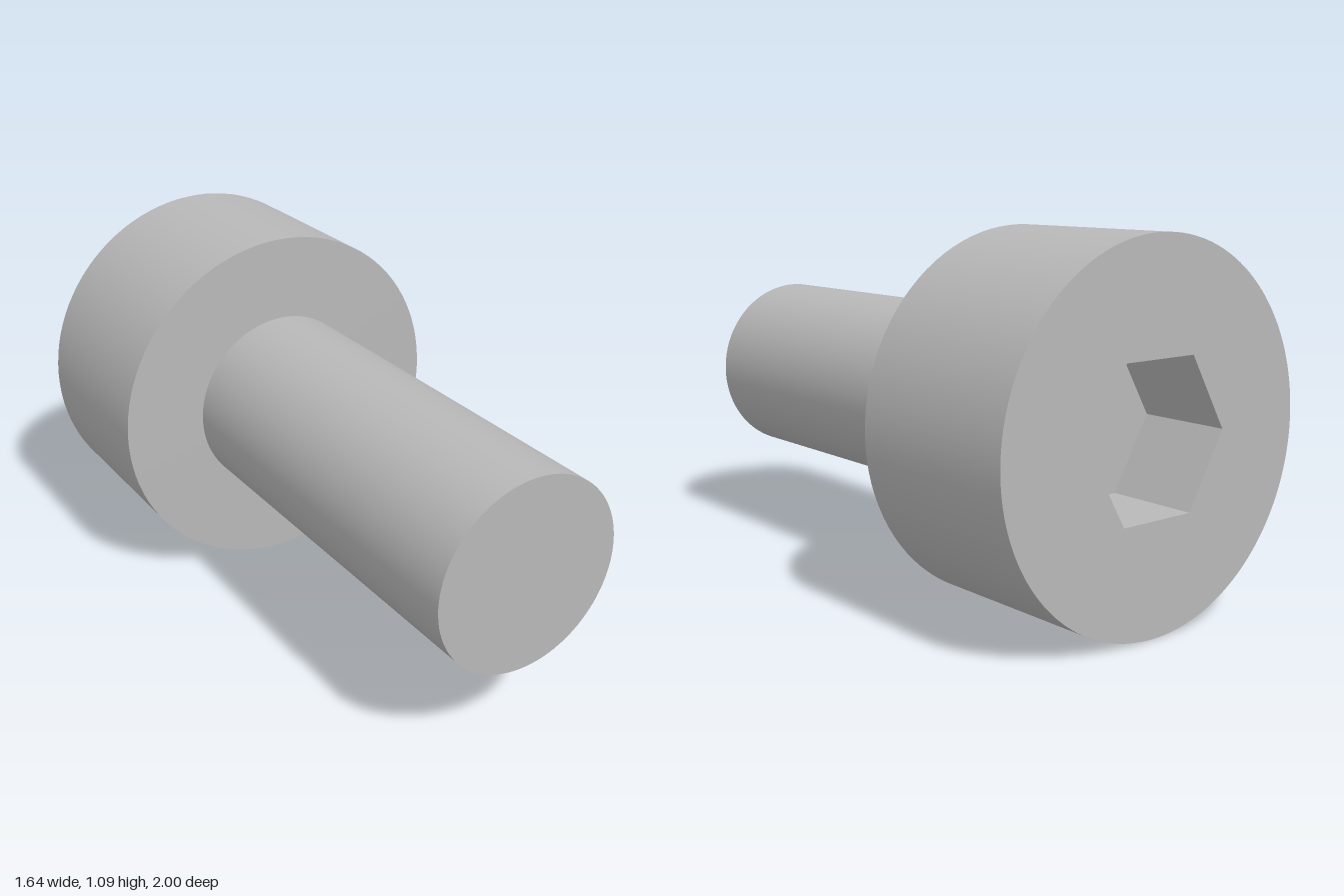
import * as THREE from 'three';

const HEAD_R = 0.547, HEAD_H = 0.57;
const SHANK_R = 0.287, LENGTH = 1.826;
const HEX_R = 0.251, HEX_DEPTH = 0.286;
const SIDES = 96;

export function createModel() {
  const steel = new THREE.MeshStandardMaterial({ color: 0xb8b8b8 });
  steel.name = 'steel grey';

  const model = new THREE.Group();
  model.name = 'socketHeadBolt';

  // The bolt runs along its own z axis, from the socket face (z = 0) to the tip.
  const bolt = new THREE.Group();
  bolt.name = 'bolt';
  bolt.position.set(-0.343, HEAD_R, -0.7275);
  bolt.rotation.y = Math.PI / 6;
  model.add(bolt);

  const add = (name, geometry, z, parent) => {
    const mesh = new THREE.Mesh(geometry, steel);
    mesh.name = name;
    mesh.position.z = z;
    parent.add(mesh);
  };
  const tube = (radius, length, sides) =>
    new THREE.CylinderGeometry(radius, radius, length, sides, 1, true, Math.PI / 2).rotateX(Math.PI / 2);

  // Head: round side, shoulder under the head, and socket face with a hexagonal opening
  const head = new THREE.Group();
  head.name = 'head';
  bolt.add(head);
  add('headSide', tube(HEAD_R, HEAD_H, SIDES), HEAD_H / 2, head);
  add('headShoulder', new THREE.RingGeometry(SHANK_R, HEAD_R, SIDES), HEAD_H, head);

  const face = new THREE.Shape().absarc(0, 0, HEAD_R, 0, Math.PI * 2, false);
  const corners = [];
  for (let i = 0; i < 6; i++) {
    const a = (i * Math.PI) / 3;
    corners.push(new THREE.Vector2(HEX_R * Math.cos(a), HEX_R * Math.sin(a)));
  }
  face.holes.push(new THREE.Path(corners));
  add('socketFace', new THREE.ShapeGeometry(face, SIDES).rotateY(Math.PI), 0, head);

  // Hexagonal socket: mirrored so the flat walls face inward
  const walls = tube(HEX_R, HEX_DEPTH, 6).scale(-1, 1, 1).toNonIndexed();
  walls.computeVertexNormals();
  add('socketWalls', walls, HEX_DEPTH / 2, head);
  add('socketFloor', new THREE.CircleGeometry(HEX_R, 6).rotateY(Math.PI), HEX_DEPTH, head);

  // Shank and flat tip
  const shank = new THREE.Group();
  shank.name = 'shank';
  bolt.add(shank);
  add('shankSide', tube(SHANK_R, LENGTH - HEAD_H, SIDES), (LENGTH + HEAD_H) / 2, shank);
  add('shankTip', new THREE.CircleGeometry(SHANK_R, SIDES), LENGTH, shank);

  return model;
}
